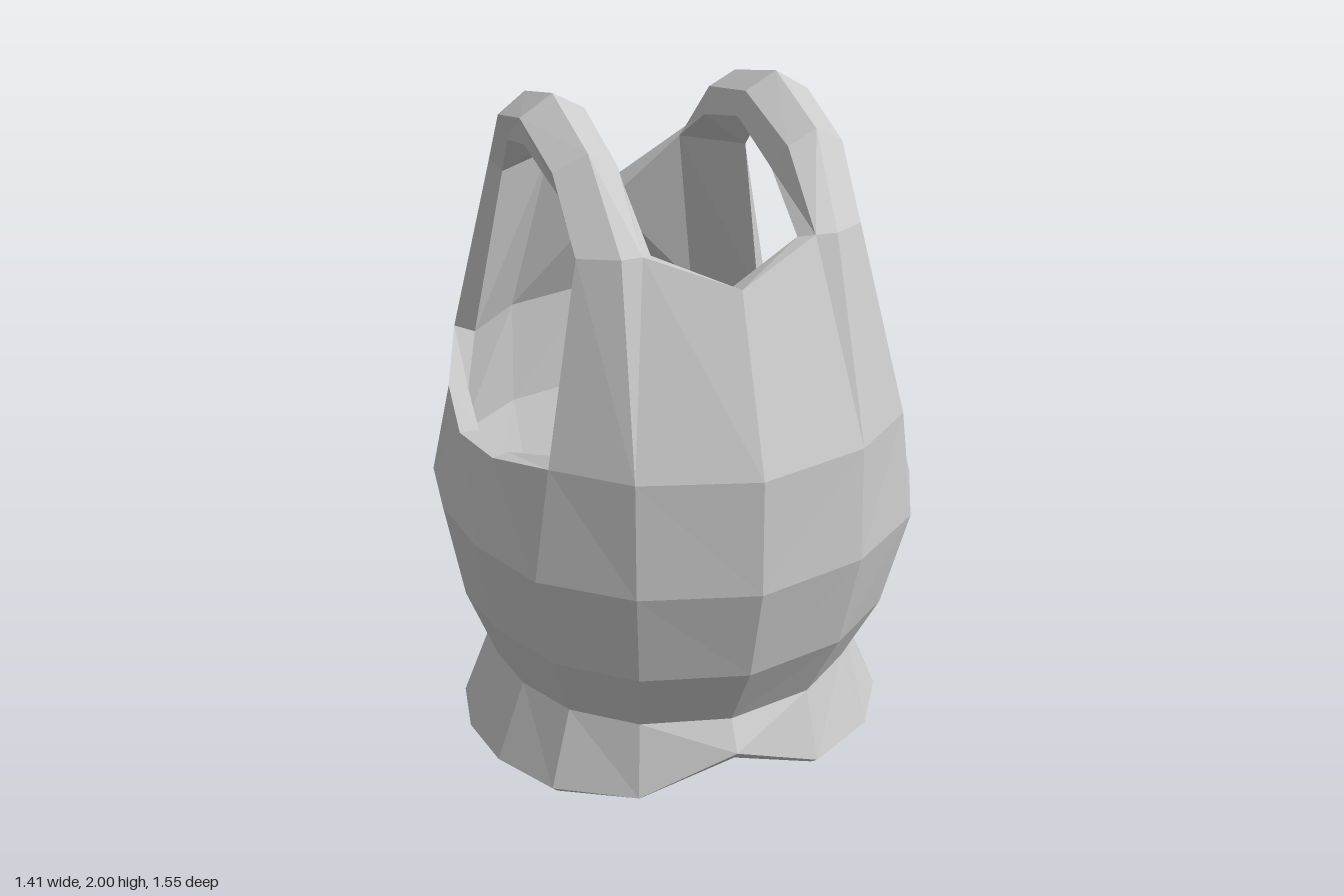
import * as THREE from 'three';

// Rows of a quarter garment, from centre front (column 0) to the side (column 4)
const row = (y, pts) => pts.map(([x, z]) => [x, y, z]);
const hem = [[0, 0.18, 0.61], [0.28, 0.05, 0.55], [0.5, 0.035, 0.4], [0.615, 0.03, 0.2], [0.652, 0.03, 0]];
const hemIn = [[0, 0.15, 0.585], [0.27, 0.03, 0.525], [0.48, 0.005, 0.375], [0.585, 0, 0.19], [0.62, 0, 0]];
const waist = row(0.27, [[0, 0.56], [0.26, 0.5], [0.43, 0.36], [0.52, 0.18], [0.55, 0]]);
const belly = row(0.5, [[0, 0.695], [0.3, 0.62], [0.5, 0.455], [0.61, 0.22], [0.645, 0]]);
const chest = row(0.8, [[0, 0.773], [0.327, 0.685], [0.56, 0.5], [0.67, 0.25], [0.705, 0]]);
const under = [[0, 1.14, 0.768], [0.325, 1.14, 0.675], [0.515, 1.14, 0.51], [0.605, 1.065, 0.25], [0.638, 1.03, 0]];
const underIn = [[0, 1.14, 0.7], [0.3, 1.14, 0.61], [0.465, 1.14, 0.445], [0.55, 1.06, 0.22], [0.578, 1.03, 0]];
const inset = (r, s) => r.map(([x, y, z]) => [x * s, y, z * s]);

// Strap stations going up and over the shoulder: neck edge, ridge, arm edge
const strap = [
  [[0.24, 1.7, 0.5], [0.3, 1.7, 0.505], [0.4, 1.69, 0.43]],
  [[0.24, 1.88, 0.3], [0.32, 1.922, 0.3], [0.41, 1.87, 0.27]],
  [[0.235, 1.95, 0], [0.325, 2, 0], [0.42, 1.94, 0]],
];
// Inside of the strap: arm edge, neck edge
const strapIn = [
  [[0.38, 1.67, 0.36], [0.205, 1.685, 0.46]],
  [[0.39, 1.8, 0.25], [0.21, 1.81, 0.26]],
  [[0.41, 1.865, 0], [0.212, 1.88, 0]],
];

// Mirrors each quarter into all four and collects triangles
function makePart(name, build, material) {
  const pos = [];
  for (const sx of [1, -1]) for (const sz of [1, -1]) {
    const put = ([x, y, z]) => {
      const px = x * sx;
      pos.push(px - 0.018 * (1 - (x / 0.705) ** 4), y, z * sz);
    };
    const tri = (a, b, c) => (sx * sz > 0 ? [a, b, c] : [a, c, b]).forEach(put);
    const loft = (lo, hi) => {
      for (let i = 0; i < lo.length - 1; i++) {
        tri(lo[i], lo[i + 1], hi[i + 1]);
        tri(lo[i], hi[i + 1], hi[i]);
      }
    };
    build(loft, tri, sz < 0);
  }
  const geo = new THREE.BufferGeometry();
  geo.setAttribute('position', new THREE.Float32BufferAttribute(pos, 3));
  geo.computeVertexNormals();
  const mesh = new THREE.Mesh(geo, material);
  mesh.name = name;
  return mesh;
}

export function createModel() {
  const group = new THREE.Group();
  group.name = 'vest';
  const mat = new THREE.MeshStandardMaterial({ color: 0xcccccc, flatShading: true });
  // The neckline dips lower at the back
  const neck = back => back ? [0, 1.5, 0.61] : [0, 1.61, 0.588];
  const neckIn = back => back ? [0, 1.48, 0.527] : [0, 1.59, 0.515];
  const stack = (loft, rows) => rows.slice(1).forEach((r, i) => loft(rows[i], r));

  // Outer cloth with flared hem, front and back panels
  group.add(makePart('body', (loft, tri, back) => {
    stack(loft, [hem, waist, belly, chest, under]);
    const [corner, ridge, arm] = strap[0];
    loft([under[0], under[1]], [neck(back), corner]);
    tri(under[1], ridge, corner);
    loft([under[1], under[2]], [ridge, arm]);
  }, mat));

  // Shoulder straps, outside and inside
  group.add(makePart('straps', loft => {
    stack(loft, strap);
    stack(loft, strapIn);
  }, mat));

  // Inner cloth
  group.add(makePart('lining', (loft, tri, back) => {
    stack(loft, [[strapIn[0][1], neckIn(back)], [underIn[1], underIn[0]]].reverse());
    loft([underIn[2], underIn[1]], strapIn[0]);
    stack(loft, [underIn, inset(chest, 0.92), inset(belly, 0.92), inset(waist, 0.95), hemIn]);
  }, mat));

  // Thick edges of the hem, neckline and armholes
  group.add(makePart('edges', (loft, tri, back) => {
    loft(hemIn, hem);
    loft([neck(back), ...strap.map(s => s[0])], [neckIn(back), ...strapIn.map(s => s[1])]);
    loft([...strap.map(s => s[2]).reverse(), ...under.slice(2)],
      [...strapIn.map(s => s[0]).reverse(), ...underIn.slice(2)]);
  }, mat));

  return group;
}
